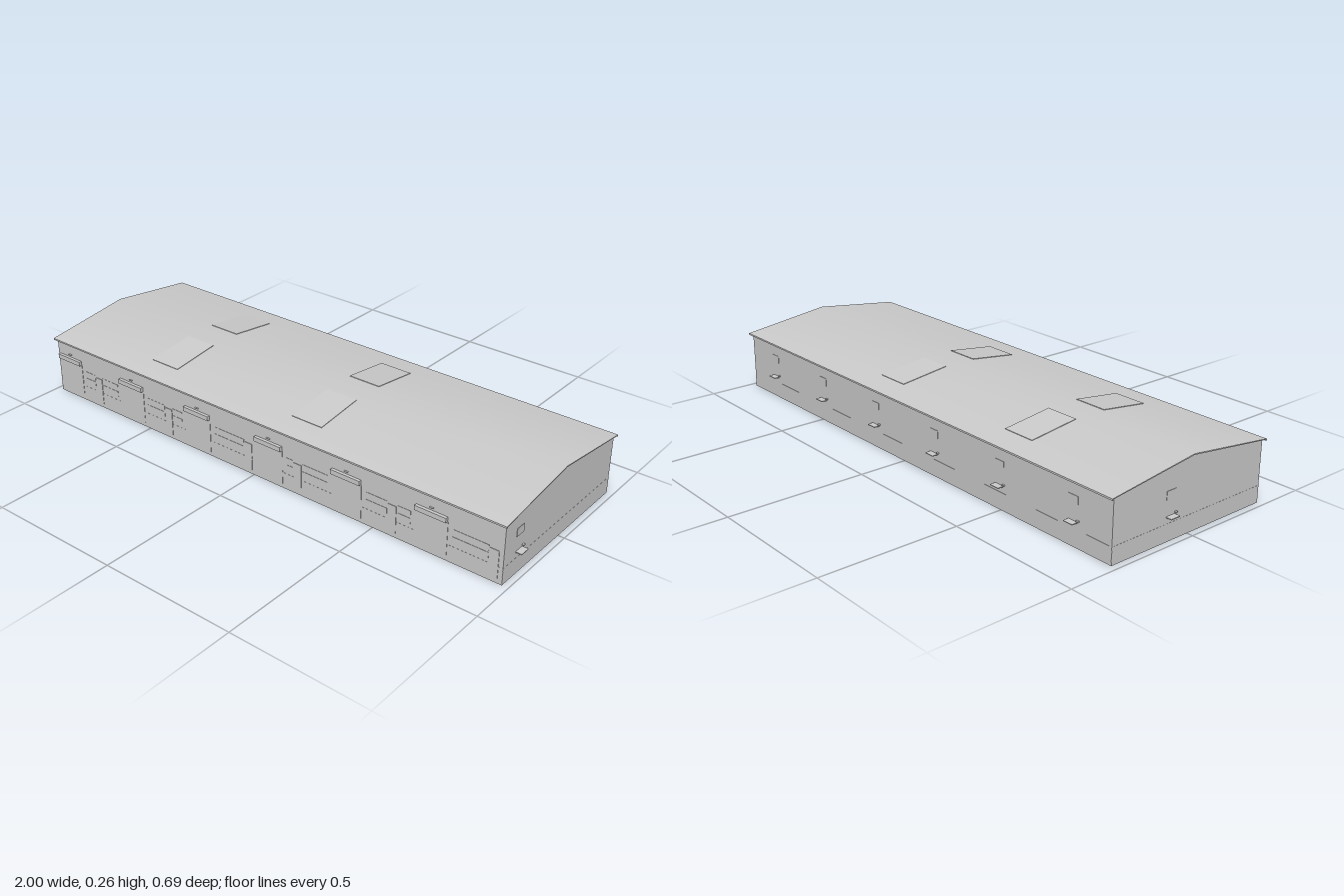
import * as THREE from 'three';
import { toCreasedNormals } from 'three/addons/utils/BufferGeometryUtils.js';

const HALF = 0.977, FRONT = 0.332, BACK = -0.322, RIDGE_Z = 0.004;
const EAVE = 0.215, RIDGE = 0.256;

export function createModel() {
  const group = new THREE.Group();
  const grey = new THREE.MeshStandardMaterial({ color: 0xcccccc, side: THREE.DoubleSide });
  grey.name = 'light grey';

  const add = (name, geometry, parent = group) => {
    const mesh = new THREE.Mesh(geometry, grey);
    mesh.name = name;
    parent.add(mesh);
    return mesh;
  };
  const box = (name, w, h, d, x, y, z, parent) =>
    add(name, new THREE.BoxGeometry(w, h, d).translate(x, y, z), parent);
  const outline = points => new THREE.Shape(points.map(p => new THREE.Vector2(...p)));

  // Thin wall shell, open underneath
  const longWall = new THREE.PlaneGeometry(2 * HALF, EAVE).translate(0, EAVE / 2, 0);
  add('frontWall', longWall).position.z = FRONT;
  const backWall = add('backWall', longWall);
  backWall.position.z = BACK;
  backWall.rotation.y = Math.PI;

  const gable = outline([[BACK, 0], [FRONT, 0], [FRONT, EAVE], [RIDGE_Z, RIDGE], [BACK, EAVE]]);
  for (const s of [-1, 1]) {
    const wall = add(s > 0 ? 'leftGable' : 'rightGable',
      new THREE.ShapeGeometry(gable).rotateY(-Math.PI / 2));
    wall.position.x = s * HALF;
  }

  // Slightly proud plinth around the foot of the walls
  const plinthH = 0.06, midZ = (FRONT + BACK) / 2, depth = FRONT - BACK;
  for (const s of [-1, 1]) {
    box('plinth', 2 * HALF, plinthH, 0.001, 0, plinthH / 2, s > 0 ? FRONT : BACK);
    box('plinth', 0.001, plinthH, depth, s * HALF, plinthH / 2, midZ);
  }

  // Pitched roof with turned-down eaves
  const roofShape = outline([
    [-0.336, 0.217], [-0.336, 0.211], [-0.332, 0.211], [-0.332, 0.2145],
    [RIDGE_Z, 0.256],
    [0.34, 0.2145], [0.34, 0.211], [0.344, 0.211], [0.344, 0.217], [RIDGE_Z, 0.26],
  ]);
  const roof = new THREE.ExtrudeGeometry(roofShape, { depth: 1.97, bevelEnabled: false })
    .rotateY(-Math.PI / 2).translate(0.985, 0, 0);
  add('roof', toCreasedNormals(roof, 0.5));

  // Roof lights laid on both slopes
  const pitch = Math.atan2(0.043, 0.34);
  for (const x of [-0.49, 0.165]) {
    for (const s of [-1, 1]) {
      const light = box('roofLight', 0.125, 0.003, 0.187, 0, 0, 0);
      light.position.set(x, 0.26 - 0.155 * Math.tan(pitch) + 0.0005, RIDGE_Z + s * 0.155);
      light.rotation.x = s * pitch;
    }
  }

  // Six front bays: loading door, hood, lamp, then side door and window strips
  const doorOffsets = [0.15, 0.185, 0.235, 0.125, 0.18, 0.225];
  doorOffsets.forEach((doorX, i) => {
    const bay = new THREE.Group();
    bay.name = 'frontBay';
    bay.position.set(-0.91 + i * 0.326, 0, FRONT);
    group.add(bay);
    box('loadingDoor', 0.12, 0.125, 0.003, 0, 0.0775, 0, bay);
    box('doorHood', 0.115, 0.017, 0.011, 0, 0.149, 0.0055, bay);
    box('doorLamp', 0.014, 0.002, 0.006, 0, 0.168, 0.003, bay);
    box('sideDoor', 0.032, 0.1, 0.004, doorX, 0.066, 0, bay);
    // Window strips fill the space either side of the side door
    for (const [a, b] of [[0.078, doorX - 0.02], [doorX + 0.02, 0.25]]) {
      if (b - a < 0.025) continue;
      for (const y of [0.085, 0.112])
        box('windowStrip', b - a, 0.021, 0.002, (a + b) / 2, y, 0, bay);
    }
  });

  // Small window with a thin shelf and bracket below it
  const windowUnit = (x, z, turn) => {
    const unit = new THREE.Group();
    unit.name = 'windowUnit';
    unit.position.set(x, 0, z);
    unit.rotation.y = turn;
    group.add(unit);
    box('window', 0.04, 0.029, 0.003, 0, 0.1525, 0, unit);
    box('shelf', 0.038, 0.003, 0.022, 0, 0.083, 0.011, unit);
    box('bracket', 0.009, 0.004, 0.007, 0.022, 0.0895, 0.0035, unit);
  };
  for (let i = 0; i < 6; i++) windowUnit(-0.818 + i * 0.3265, BACK, Math.PI);
  windowUnit(HALF, 0.247, Math.PI / 2);
  windowUnit(-HALF, -0.08, -Math.PI / 2);

  return group;
}
